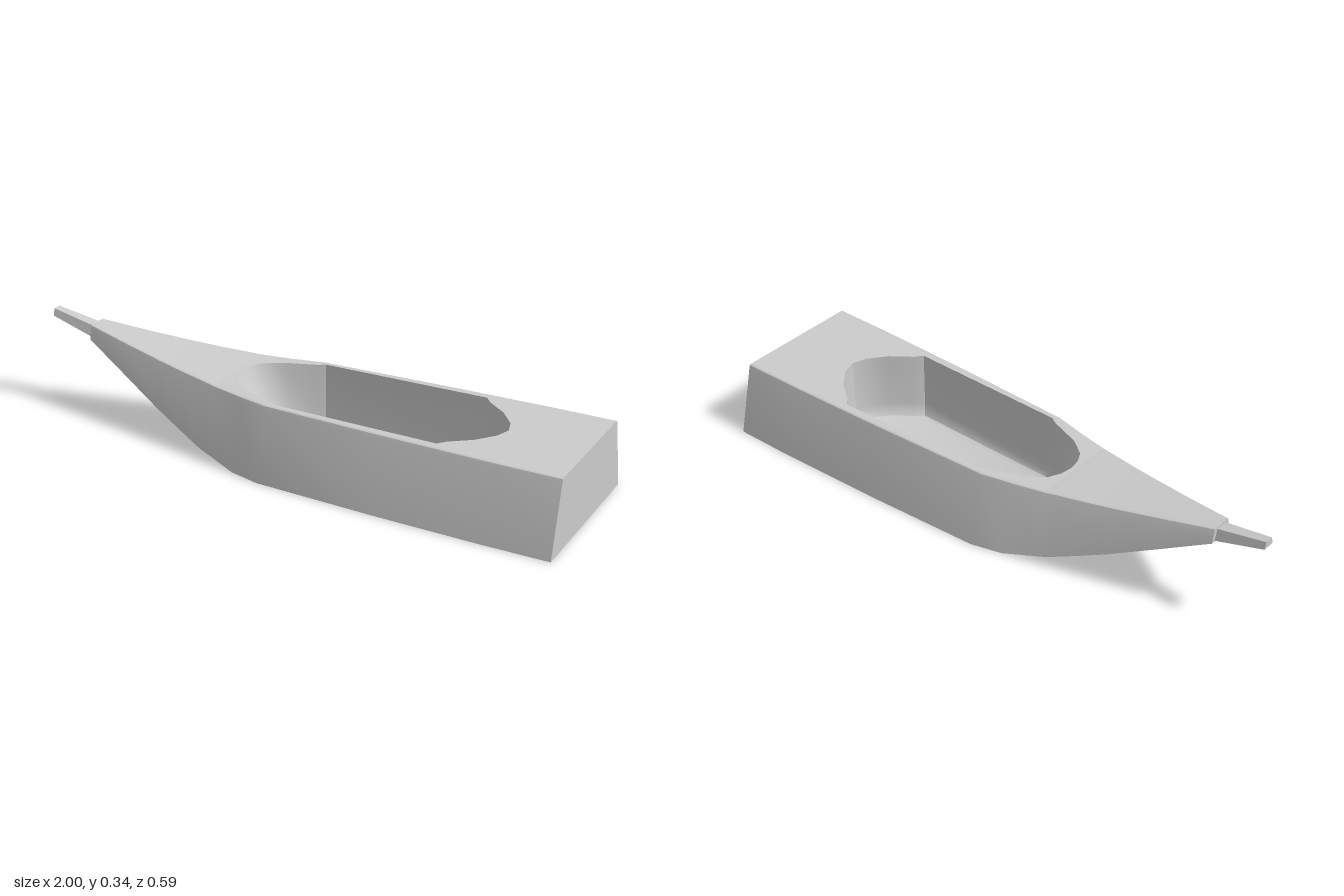
import * as THREE from 'three';
import { toCreasedNormals } from 'three/addons/utils/BufferGeometryUtils.js';

const material = new THREE.MeshStandardMaterial({ color: 0xcccccc, side: THREE.DoubleSide });

// Hull stations: x, half-width at deck, half-width at bottom edge, deck y, bottom y
const stations = [
  [1, 0.236, 0.295, 0.255, 0], [0.78, 0.235, 0.295, 0.255, 0], [0.4, 0.225, 0.285, 0.255, 0],
  [-0.04, 0.207, 0.264, 0.255, 0], [-0.15, 0.182, 0.235, 0.255, 0], [-0.26, 0.158, 0.204, 0.258, 0.026],
  [-0.3, 0.149, 0.193, 0.262, 0.035], [-0.4, 0.128, 0.165, 0.27, 0.074], [-0.5, 0.107, 0.137, 0.28, 0.115],
  [-0.66, 0.073, 0.092, 0.299, 0.19], [-0.83, 0.037, 0.047, 0.322, 0.272],
];
const DECK_END = 6; // number of stations covered by the cockpit deck

// Half outline of the cockpit opening, bow to stern: x, z
const cockpit = [
  [-0.248, 0], [-0.24, 0.045], [-0.22, 0.083], [-0.16, 0.128], [-0.05, 0.168], [-0.022, 0.185], [0.567, 0.196],
  [0.59, 0.168], [0.66, 0.115], [0.71, 0.052], [0.727, 0],
];
const outline = [...cockpit, ...cockpit.slice(1, -1).reverse().map(([x, z]) => [x, -z])];

function deckY(x) {
  for (let i = 1; i < stations.length; i++) {
    const a = stations[i - 1], b = stations[i];
    if (x >= b[0]) return THREE.MathUtils.lerp(b[3], a[3], (x - b[0]) / (a[0] - b[0]));
  }
  return stations.at(-1)[3];
}

// Skin equal-length rows of points
function loft(rows, closed = false) {
  const n = rows[0].length, index = [];
  for (let i = 0; i < rows.length - 1; i++) {
    for (let j = 0; j < (closed ? n : n - 1); j++) {
      const k = (j + 1) % n;
      const a = i * n + j, b = i * n + k, c = a + n, d = b + n;
      index.push(a, c, b, b, c, d);
    }
  }
  const geometry = new THREE.BufferGeometry();
  geometry.setAttribute('position', new THREE.Float32BufferAttribute(rows.flat(2), 3));
  geometry.setIndex(index);
  return toCreasedNormals(geometry, 0.5);
}

function part(name, geometry) {
  const mesh = new THREE.Mesh(geometry, material);
  mesh.name = name;
  return mesh;
}

const bevel = (s) => Math.min(0.008, s[1] * 0.15);

// Side wall with a softly rounded gunwale
function sideRow(s, side) {
  const [x, top, bottom, ty, by] = s, b = bevel(s);
  return [[bottom, by], [top, ty - b], [top - 0.3 * b, ty - 0.3 * b], [top - b, ty]]
    .map(([z, y]) => [x, y, z * side]);
}

// Flat panel closing the hull at one station
function endPanel(s) {
  const left = sideRow(s, 1), right = sideRow(s, -1);
  return loft([left, right]);
}

export function createModel() {
  const group = new THREE.Group();
  group.name = 'boat';

  // Hull shell, open underneath
  for (const [name, side] of [['frontSideWall', 1], ['backSideWall', -1]]) {
    const rows = stations.map((s) => sideRow(s, side));
    group.add(part(name, loft(side > 0 ? rows.reverse() : rows)));
  }
  group.add(part('stern', endPanel(stations[0])));
  group.add(part('bowPanel', endPanel(stations.at(-1))));

  // Deck around the cockpit
  const edge = stations.slice(0, DECK_END).map((s) => [s[0], s[1] - bevel(s)]);
  const rim = [...edge, ...edge.map(([x, z]) => [x, -z]).reverse()];
  const shape = new THREE.Shape(rim.map((p) => new THREE.Vector2(...p)));
  shape.holes.push(new THREE.Path(outline.map((p) => new THREE.Vector2(...p))));
  const deck = new THREE.ShapeGeometry(shape).rotateX(-Math.PI / 2);
  const pos = deck.attributes.position;
  for (let i = 0; i < pos.count; i++) pos.setY(i, deckY(pos.getX(i)));
  deck.computeVertexNormals();
  group.add(part('cockpitDeck', deck));

  // Rising foredeck
  group.add(part('foredeck', loft(stations.slice(DECK_END - 1).map((s) => {
    const z = s[1] - bevel(s);
    return [[s[0], s[3], -z], [s[0], s[3], z]];
  }))));

  // Cockpit tub: raked front, rounded floor edge; rows are y, front rake, inset
  const levels = [[null, 0, 0], [0.06, 0.8, 0.005], [0.03, 0.95, 0.009], [0.014, 1, 0.018], [0.006, 1, 0.034], [0.006, 1, 0.19]];
  const rows = levels.map(([y, rake, inset]) => outline.map(([x, z]) => {
    const px = x < -0.04 ? -0.04 + (x + 0.04) * (1 - 0.5 * rake) : x;
    const kx = inset === 0.19 ? 0 : 1 - inset / 0.45;
    return [0.27 + (px - 0.27) * kx, y ?? deckY(x), z * (1 - inset / 0.19)];
  }));
  group.add(part('cockpitTub', loft(rows, true)));

  // Slender prow tip
  const tipRow = (x, wide, narrow, low, high) =>
    [[x, low, wide], [x, high, narrow], [x, high, -narrow], [x, low, -wide]];
  const root = tipRow(-0.825, 0.034, 0.022, 0.274, 0.313);
  const end = tipRow(-1, 0.022, 0.015, 0.32, 0.345);
  const middle = end.map(() => [-1, 0.333, 0]);
  group.add(part('prowTip', loft([root, end, middle], true)));

  return group;
}
